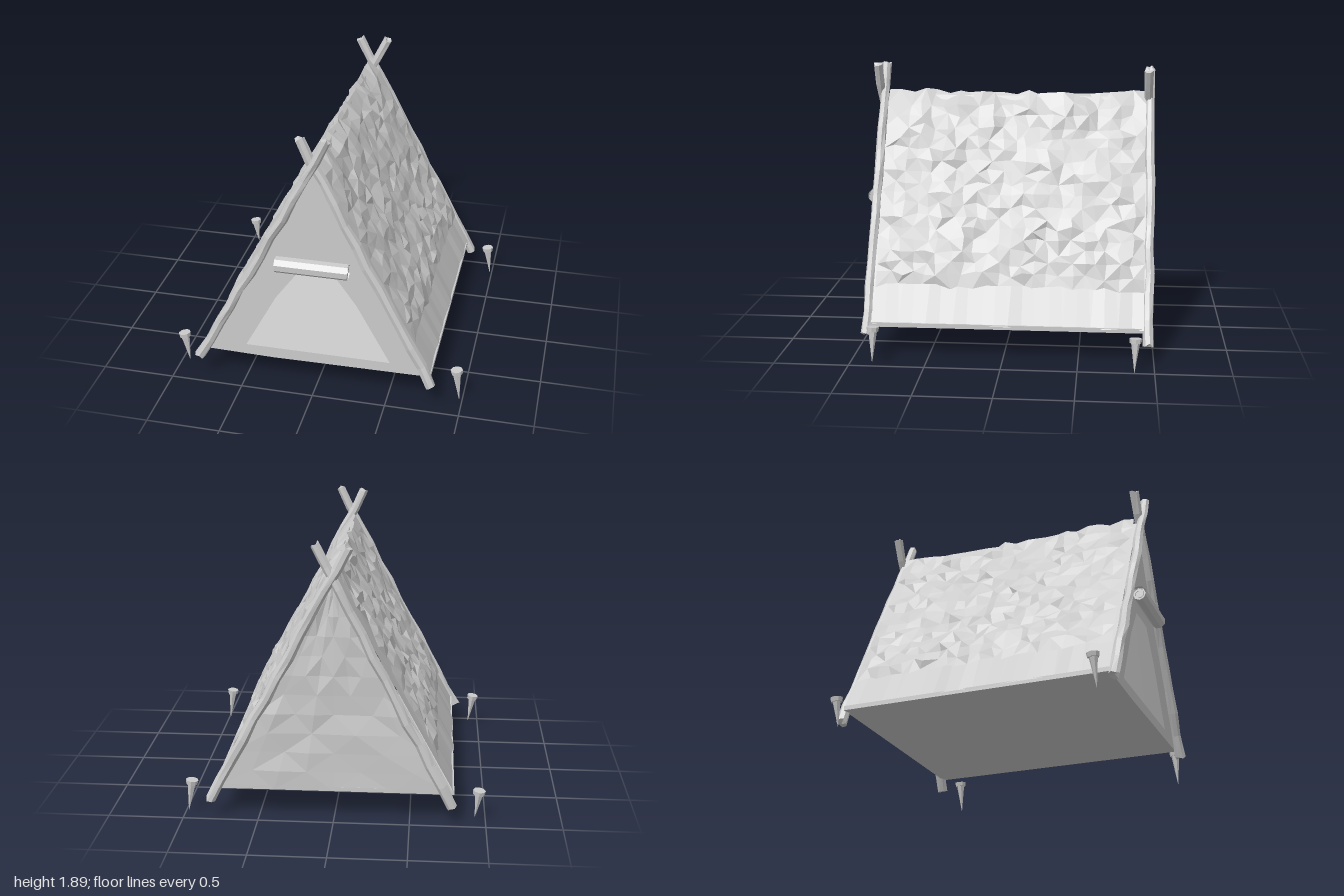
import * as THREE from 'three';

const mat = new THREE.MeshStandardMaterial({ color: 0xcccccc, flatShading: true, side: THREE.DoubleSide });

// Repeatable noise in -1..1
const noise = (a, b, c = 0) => {
  const s = Math.sin(a * 127.1 + b * 311.7 + c * 74.7) * 43758.5453;
  return (s - Math.floor(s)) * 2 - 1;
};

// Faceted sheet from a rule (i, j) -> [x, y, z]
function sheet(nu, nv, rule) {
  const pos = [], idx = [];
  for (let j = 0; j <= nv; j++) for (let i = 0; i <= nu; i++) pos.push(...rule(i, j));
  for (let j = 0; j < nv; j++) for (let i = 0; i < nu; i++) {
    const a = j * (nu + 1) + i, b = a + 1, c = a + nu + 1, d = c + 1;
    if ((i + j) % 2) idx.push(a, c, b, b, c, d);
    else idx.push(a, c, d, a, d, b);
  }
  const g = new THREE.BufferGeometry();
  g.setAttribute('position', new THREE.Float32BufferAttribute(pos, 3));
  g.setIndex(idx);
  const flat = g.toNonIndexed();
  flat.computeVertexNormals();
  return flat;
}

export function createModel() {
  const group = new THREE.Group();
  const add = (name, geo, parent = group) => {
    const m = new THREE.Mesh(geo, mat);
    m.name = name;
    parent.add(m);
    return m;
  };
  const RIDGE = 1.66, FOOT = 0.22, HALF = 0.79, FRONT = 0.885, BACK = -0.945;

  // Ground sheet
  add('groundSheet', new THREE.BoxGeometry(2 * HALF, 0.03, FRONT - BACK)).position.set(0, 0.215, (FRONT + BACK) / 2);

  // Inner tent: two sloping sides with a slightly wavy foot
  add('innerTent', sheet(2, 20, (i, j) => {
    const s = i - 1, z = FRONT + (BACK - FRONT) * j / 20;
    return [s * (HALF + 0.008 * noise(j, s, 1)), s ? FOOT : RIDGE, z];
  }));

  // Outer cover: wrinkled cloth laid over the ridge, ending above the foot
  const NU = 34, NV = 22;
  add('outerCover', sheet(NU, NV, (i, j) => {
    const u = i / NU * 2 - 1, side = Math.sign(u), t = Math.abs(u);
    const hem = t === 1, end = j === 0 || j === NV;
    const k = t * 0.84 + (hem ? 0.012 : side ? 0.014 : 0) * noise(i, j, 2);
    const lift = hem ? 0.012 : end ? 0.022 : 0.03 + 0.017 * noise(i, j, 3);
    const sag = 0.022 * (1 - t) * (Math.abs(j / NV * 2 - 1) ** 3 - 0.4);
    const z = 0.87 - 1.8 * j / NV + (end ? 0.004 : 0.022) * noise(i, j, 4);
    return [
      side ? side * (HALF * k + 0.88 * lift) : -0.015 + 0.02 * noise(j, 5),
      RIDGE - (RIDGE - FOOT) * k + (side ? 0.48 : 1) * lift + sag,
      z,
    ];
  }));

  // Front wall with a door opening
  const wall = new THREE.Shape([[-0.79, 0.2], [-0.3, 0.19], [0.2, 0.195], [0.79, 0.2], [0, RIDGE]]
    .map(p => new THREE.Vector2(...p)));
  wall.holes.push(new THREE.Path([[-0.49, 0.27], [-0.27, 0.68], [-0.11, 0.9], [0.13, 0.9], [0.28, 0.69], [0.51, 0.27]]
    .map(p => new THREE.Vector2(...p))));
  add('frontWall', new THREE.ShapeGeometry(wall)).position.z = FRONT;

  // Back wall: soft folds over a triangle
  add('backWall', sheet(8, 11, (i, j) => {
    const h = j / 11, edge = i === 0 || i === 8 || j === 0 || j === 11;
    return [(i / 4 - 1) * HALF * (1 - h), 0.2 + (RIDGE - 0.2) * h, BACK + (edge ? 0 : 0.014 * noise(i, j, 6))];
  }));

  // Rolled-up door: a spiral of cloth
  const roll = new THREE.Group();
  roll.name = 'rolledDoor';
  roll.position.set(-0.005, 0.972, 0.945);
  group.add(roll);
  add('rolledCloth', sheet(1, 20, (i, j) => {
    const a = j * Math.PI / 4 + Math.PI / 8, r = 0.018 + 0.0022 * j;
    return [(i - 0.5) * 0.485, Math.sin(a) * r, Math.cos(a) * r];
  }), roll);
  const core = add('rollCore', new THREE.CylinderGeometry(0.045, 0.045, 0.475, 8), roll);
  core.rotation.z = Math.PI / 2;

  // Place a y-aligned mesh between two points
  const UP = new THREE.Vector3(0, 1, 0);
  function span(obj, a, b) {
    obj.position.copy(a).lerp(b, 0.5);
    obj.quaternion.setFromUnitVectors(UP, b.clone().sub(a).normalize());
  }

  // Rough wooden poles, crossed at each end
  function pole(name, seed, from, to) {
    const a = new THREE.Vector3(...from), b = new THREE.Vector3(...to), len = a.distanceTo(b);
    const g = new THREE.CylinderGeometry(0.031, 0.036, len, 7, 12);
    const p = g.attributes.position;
    for (let n = 0; n < p.count; n++) {
      const x = p.getX(n), y = p.getY(n), z = p.getZ(n);
      const ring = Math.round((y / len + 0.5) * 12);
      const spoke = (Math.round(Math.atan2(x, z) / (Math.PI * 2) * 7) + 7) % 7;
      const f = 1 + 0.12 * noise(ring, spoke, seed);
      const cap = ring % 12 === 0 ? 0.012 * noise(spoke, seed, 9) : 0;
      p.setXYZ(n, x * f + 0.008 * noise(ring, seed, 7), y + cap, z * f + 0.005 * noise(ring, seed, 8));
    }
    span(add(name, g), a, b);
  }
  pole('frontRightPole', 1, [-0.815, 0.155, 0.915], [0.1, 1.88, 0.93]);
  pole('frontLeftPole', 2, [0.795, 0.15, 0.915], [-0.085, 1.87, 0.9]);
  pole('backRightPole', 3, [-0.78, 0.12, -0.965], [0.12, 1.86, -0.95]);
  pole('backLeftPole', 4, [0.82, 0.125, -0.96], [-0.1, 1.845, -0.965]);

  // Tent pegs: flat head on a tapering spike, leaning slightly
  const pegs = [
    [[-0.955, 0.262, 0.83], [-0.922, 0.045, 0.84]],
    [[0.955, 0.255, 0.84], [0.982, 0.02, 0.845]],
    [[-0.955, 0.222, -0.91], [-0.93, 0.03, -0.9]],
    [[0.955, 0.222, -0.875], [0.985, 0, -0.87]],
  ];
  for (const [head, tip] of pegs) {
    const a = new THREE.Vector3(...tip), b = new THREE.Vector3(...head), len = a.distanceTo(b);
    const peg = new THREE.Group();
    peg.name = 'peg';
    span(peg, a, b);
    add('pegHead', new THREE.CylinderGeometry(0.042, 0.038, 0.03, 8), peg).position.y = len / 2 - 0.015;
    add('pegSpike', new THREE.CylinderGeometry(0.029, 0.001, len - 0.03, 6), peg).position.y = -0.015;
    group.add(peg);
  }
  return group;
}
